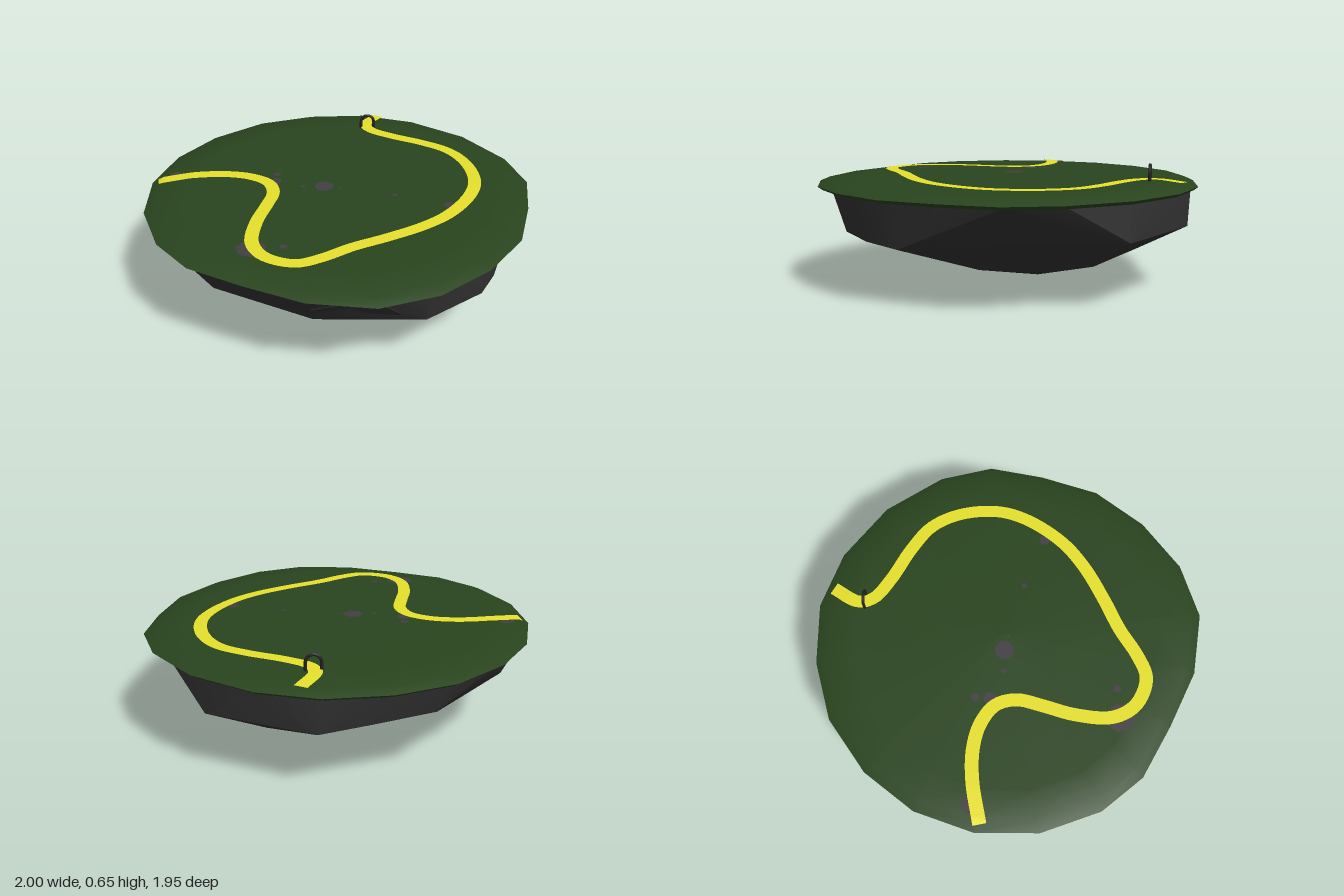
import * as THREE from 'three';
import { toCreasedNormals } from 'three/addons/utils/BufferGeometryUtils.js';
import { ConvexGeometry } from 'three/addons/geometries/ConvexGeometry.js';

const material = (name, color, side = THREE.FrontSide) => {
  const m = new THREE.MeshStandardMaterial({ color, side });
  m.name = name;
  return m;
};

// Island outline in x, z
const outline = [
  [0.01, -0.975], [0.36, -0.915], [0.67, -0.745], [0.86, -0.535], [0.945, -0.26],
  [1, 0.05], [0.945, 0.36], [0.81, 0.645], [0.6, 0.855], [0.295, 0.96],
  [-0.02, 0.97], [-0.32, 0.96], [-0.565, 0.855], [-0.8, 0.64], [-0.95, 0.36],
  [-1, 0.05], [-0.95, -0.26], [-0.805, -0.555], [-0.58, -0.775], [-0.3, -0.93],
];

// Grass cross-section: scale of the outline, height
const grassProfile = [[0.001, 0.505], [0.9, 0.505], [0.975, 0.51], [1, 0.528], [0.95, 0.55], [0.8, 0.56], [0.001, 0.566]];

function grassHeight(x, z) {
  const r = Math.hypot(x, z) / 1.01;
  for (let i = 3; i < 6; i++) {
    const [r0, y0] = grassProfile[i], [r1, y1] = grassProfile[i + 1];
    if (r >= r1) return THREE.MathUtils.mapLinear(Math.min(r, r0), r0, r1, y0, y1);
  }
  return 0.566;
}

function buildGeometry(positions, indices) {
  const g = new THREE.BufferGeometry();
  g.setAttribute('position', new THREE.Float32BufferAttribute(positions, 3));
  g.setIndex(indices);
  g.computeVertexNormals();
  return g;
}

function grassGeometry() {
  const n = outline.length, positions = [], indices = [];
  grassProfile.forEach(([s, y], i) => outline.forEach(([x, z], j) => {
    positions.push(x * s, y, z * s);
    if (i === grassProfile.length - 1) return;
    const a = i * n + j, b = i * n + (j + 1) % n;
    indices.push(a, a + n, b, b, a + n, b + n);
  }));
  return toCreasedNormals(buildGeometry(positions, indices), 0.5);
}

// Flat ribbon that follows the grass
function ribbonGeometry(points, width, steps) {
  const curve = new THREE.CatmullRomCurve3(points.map(([x, z]) => new THREE.Vector3(x, 0, z)));
  const positions = [], indices = [];
  for (let i = 0; i <= steps; i++) {
    const p = curve.getPointAt(i / steps), t = curve.getTangentAt(i / steps);
    for (const s of [width / 2, -width / 2]) {
      const x = p.x + t.z * s, z = p.z - t.x * s;
      positions.push(x, grassHeight(x, z) + 0.007, z);
    }
    if (i < steps) {
      const a = i * 2;
      indices.push(a, a + 1, a + 2, a + 1, a + 3, a + 2);
    }
  }
  return buildGeometry(positions, indices);
}

const hull = (points) => toCreasedNormals(
  new ConvexGeometry(points.map((p) => new THREE.Vector3(...p))), 0.5);

export function createModel() {
  const group = new THREE.Group();
  const grass = material('grass green', 0x29441e);
  const yellow = material('path yellow', 0xe8e22c, THREE.DoubleSide);
  const rock = material('rock charcoal', 0x333333);
  const stone = material('stone grey', 0x433f44);
  const iron = material('arch black', 0x222222);

  const add = (name, geometry, mat, parent = group) => {
    const mesh = new THREE.Mesh(geometry, mat);
    mesh.name = name;
    parent.add(mesh);
    return mesh;
  };

  add('grassTop', grassGeometry(), grass);

  // Main rock: rim, shoulder ring (cut away at the back left) and a blunt underside
  const body = [];
  outline.forEach(([x, z], i) => {
    body.push([x * 0.94 - 0.018, 0.515, z * 0.955]);
    if (i % 2 && i !== 3) {
      const back = z < 0 ? 0.96 : 0.85;
      body.push([x * 0.88, 0.325 - 0.03 * x + 0.015 * Math.sin(i * 2.3), z * back]);
    }
  });
  body.push(
    [0.88, 0.3, 0.24], [-0.085, 0, 0.02], [-0.07, 0.012, -0.11], [0.31, 0.09, 0],
    [0.02, 0.12, -0.51], [0.05, 0.25, -0.77], [0.35, 0.16, -0.33], [-0.35, 0.16, -0.38],
    [-0.63, 0.24, -0.05], [0.25, 0.15, 0.38], [0.55, 0.22, 0.42],
  );
  add('rockBody', hull(body), rock);

  // Broken slabs lying against the front of the rock
  add('frontRightSlab', hull([
    [-0.63, 0.335, 0.62], [-0.27, 0.21, 0.54], [-0.1, 0.085, 0.1], [-0.2, 0.012, 0.155],
    [-0.425, 0.07, 0.16], [-0.3, 0.045, 0.3], [-0.63, 0.235, 0.28], [-0.86, 0.36, 0.1],
    [-0.8, 0.36, 0.43], [-0.2, 0.3, 0.1],
  ]), rock);
  add('frontLeftSlab', hull([
    [0.27, 0.42, 0.87], [0.45, 0.5, 0.845], [0.6, 0.48, 0.77], [0.64, 0.38, 0.665],
    [0.5, 0.26, 0.58], [0.3, 0.26, 0.655], [0.3, 0.4, 0.4],
  ]), rock);

  // Winding path
  add('path', ribbonGeometry([
    [-0.19, -0.905], [-0.195, -0.75], [-0.14, -0.69], [0, -0.665], [0.2, -0.66], [0.37, -0.63],
    [0.51, -0.53], [0.62, -0.36], [0.65, -0.2], [0.62, 0.03], [0.545, 0.2], [0.43, 0.37],
    [0.315, 0.52], [0.23, 0.66], [0.15, 0.75], [0.05, 0.775], [-0.04, 0.76], [-0.13, 0.69],
    [-0.205, 0.52], [-0.24, 0.36], [-0.275, 0.23], [-0.35, 0.15], [-0.47, 0.13], [-0.6, 0.16],
    [-0.74, 0.235], [-0.905, 0.365],
  ], 0.068, 140), yellow);

  // Bare stone showing through the grass: x, z, radius
  const patches = new THREE.Group();
  patches.name = 'stonePatches';
  group.add(patches);
  [
    [-0.07, 0.05, 0.052], [-0.36, 0.04, 0.022], [-0.33, 0.11, 0.035], [-0.17, 0.1, 0.014],
    [0.3, -0.03, 0.015], [0.59, -0.06, 0.03], [-0.84, 0.28, 0.05], [-0.11, 0.73, 0.075],
    [0.02, 0.65, 0.02], [0.01, 0.03, 0.008],
  ].forEach(([x, z, r], i) => {
    const patch = add('stonePatch', new THREE.CircleGeometry(r, 7), stone, patches);
    patch.position.set(x, grassHeight(x, z) + 0.002, z);
    patch.rotation.set(-Math.PI / 2, 0, i);
  });

  // Small arch over the path
  const archPoints = [new THREE.Vector3(-0.037, 0.55, 0)];
  for (let i = 0; i <= 8; i++) {
    const a = Math.PI * (1 - i / 8);
    archPoints.push(new THREE.Vector3(0.037 * Math.cos(a), 0.602 + 0.037 * Math.sin(a), 0));
  }
  archPoints.push(new THREE.Vector3(0.037, 0.55, 0));
  const arch = add('arch', new THREE.TubeGeometry(new THREE.CatmullRomCurve3(archPoints), 32, 0.008, 8), iron);
  arch.position.set(-0.173, 0, -0.722);
  arch.rotation.y = 0.437;

  return group;
}
